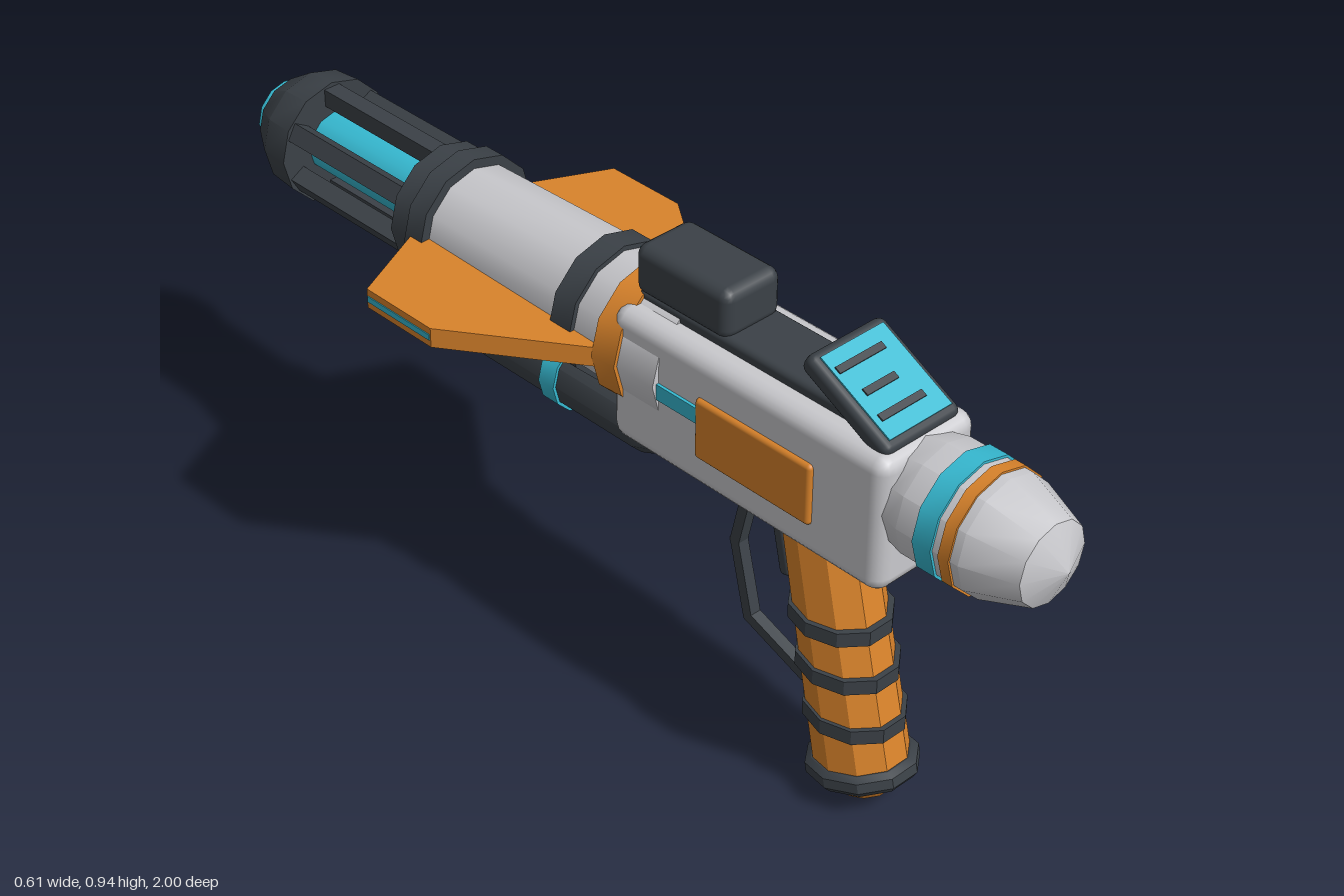
import * as THREE from 'three';
import { toCreasedNormals } from 'three/addons/utils/BufferGeometryUtils.js';
import { RoundedBoxGeometry } from 'three/addons/geometries/RoundedBoxGeometry.js';

const material = (name, color) => {
  const m = new THREE.MeshStandardMaterial({ color });
  m.name = name;
  return m;
};

export function createModel() {
  const grey = material('light grey', 0xc9c9cd);
  const orange = material('orange', 0xd9832b);
  const cyan = material('cyan', 0x36b9d1);
  const dark = material('charcoal', 0x3b4147);

  const model = new THREE.Group();
  model.name = 'blaster';
  const AXIS = 0.735; // height of the barrel axis

  function add(name, geometry, mat, x = 0, y = 0, z = 0, parent = model) {
    const mesh = new THREE.Mesh(geometry, mat);
    mesh.name = name;
    mesh.position.set(x, y, z);
    parent.add(mesh);
    return mesh;
  }
  const box = (w, h, d) => new THREE.BoxGeometry(w, h, d);
  const rounded = (w, h, d, r) => new RoundedBoxGeometry(w, h, d, 2, r);

  // Lathe from [position, radius] pairs in ascending order, around the y axis
  const lathe = (profile, sides, phase = 0) => toCreasedNormals(
    new THREE.LatheGeometry(profile.map(([p, r]) => new THREE.Vector2(r, p)), sides, phase), 0.56);
  // Same, turned to lie along z
  const turned = (name, mat, profile, y = AXIS, sides = 12) =>
    add(name, lathe(profile, sides).rotateX(Math.PI / 2), mat, 0, y, 0);
  const ring = (name, mat, z0, z1, r, y = AXIS) =>
    turned(name, mat, [[z0, 0], [z0, r], [z1, r], [z1, 0]], y);

  // Rear cap with coloured rings
  turned('rearCap', grey, [[0.66, 0.1], [0.7, 0.108], [0.73, 0.115], [0.865, 0.115], [0.965, 0.08], [1, 0]], 0.732);
  ring('rearOrangeRing', orange, 0.825, 0.848, 0.119, 0.732);
  ring('rearCyanRing', cyan, 0.77, 0.81, 0.12, 0.732);

  // Receiver with side panels
  add('receiver', rounded(0.23, 0.275, 0.65, 0.03), grey, 0, 0.7025, 0.375);
  for (const s of [-1, 1]) {
    add('sidePanel', rounded(0.02, 0.125, 0.275, 0.009), orange, s * 0.114, 0.6975, 0.4075);
    add('sideStrip', box(0.016, 0.032, 0.12), cyan, s * 0.113, 0.722, 0.22);
  }

  // Barrel with socket and collars
  ring('barrelSocket', grey, 0.05, 0.175, 0.13);
  turned('frontCollar', orange, [[0.03, 0], [0.03, 0.14], [0.085, 0.137], [0.085, 0]]);
  turned('barrel', grey, [[-0.44, 0], [-0.44, 0.118], [0.04, 0.128], [0.04, 0]]);
  ring('barrelBand', dark, -0.085, -0.033, 0.136);
  turned('cageCollar', dark, [[-0.53, 0], [-0.53, 0.127], [-0.48, 0.127], [-0.48, 0.137], [-0.435, 0.137], [-0.435, 0]]);

  // Muzzle cage around the glowing core
  ring('energyCore', cyan, -0.87, -0.5, 0.062);
  for (let i = 0; i < 6; i++) {
    const a = Math.PI / 2 + i * Math.PI / 3;
    add('cageRod', box(0.036, 0.036, 0.36), dark, Math.cos(a) * 0.1, AXIS + Math.sin(a) * 0.1, -0.69).rotation.z = a;
  }
  turned('muzzle', dark, [[-0.98, 0], [-0.98, 0.082], [-0.915, 0.122], [-0.85, 0.127], [-0.85, 0]]);
  ring('muzzleTip', cyan, -1, -0.97, 0.069);

  // Side fins with thin coloured edges
  for (const s of [-1, 1]) {
    const outline = new THREE.Shape([[0.09, 0.07], [0.135, 0.03], [0.303, -0.21], [0.303, -0.385], [0.135, -0.465], [0.09, -0.465]]
      .map(([x, z]) => new THREE.Vector2(s * x, -z)));
    const fin = new THREE.ExtrudeGeometry(outline, { depth: 0.04, bevelEnabled: false });
    add('fin', fin.rotateX(-Math.PI / 2), orange, 0, 0.71, 0);
    add('finEdge', box(0.006, 0.012, 0.17), cyan, s * 0.302, 0.73, -0.2975);
  }

  // Canister slung below the barrel
  turned('canister', dark, [[-0.465, 0], [-0.465, 0.03], [-0.45, 0.052], [-0.4, 0.073], [0.05, 0.073],
    [0.1, 0.055], [0.12, 0.03], [0.12, 0]], 0.548);
  ring('canisterBand', cyan, -0.18, -0.14, 0.079, 0.548);

  // Top rail and sight
  add('topRail', rounded(0.13, 0.04, 0.55, 0.012), dark, 0, 0.843, 0.345);
  add('sight', rounded(0.134, 0.1, 0.23, 0.022), dark, 0, 0.9, 0.175);
  add('sightLens', box(0.09, 0.06, 0.008), cyan, 0, 0.9, 0.058);

  // Tilted display
  const display = new THREE.Group();
  display.name = 'display';
  display.position.set(0, 0.88, 0.582);
  display.rotation.x = 0.48;
  model.add(display);
  add('displayFrame', rounded(0.182, 0.042, 0.215, 0.016), dark, 0, 0, 0, display);
  add('displayScreen', box(0.15, 0.008, 0.18), cyan, 0, 0.02, 0, display);
  [[-0.012, 0.11, -0.055], [-0.015, 0.075, 0], [-0.01, 0.105, 0.05]].forEach(([x, w, z]) =>
    add('displayBar', box(w, 0.008, 0.014), dark, x, 0.023, z, display));

  // Raked grip
  const grip = new THREE.Group();
  grip.name = 'grip';
  grip.position.set(0, 0.57, 0.475);
  grip.rotation.x = -0.22;
  model.add(grip);
  const gripPart = (name, mat, profile) => {
    add(name, lathe(profile, 10, Math.PI / 10), mat, 0, 0, 0, grip).scale.z = 1.1;
  };
  gripPart('gripBody', orange, [[-0.575, 0], [-0.565, 0.045], [-0.51, 0.085], [0.04, 0.078], [0.04, 0]]);
  gripPart('gripBaseBand', dark, [[-0.53, 0], [-0.53, 0.09], [-0.518, 0.1], [-0.498, 0.1], [-0.49, 0.088], [-0.49, 0]]);
  for (const y of [0.38, 0.285, 0.185]) {
    const band = [[-0.015, 0], [-0.015, 0.09], [0.015, 0.09], [0.015, 0]];
    add('gripBand', lathe(band, 10, Math.PI / 10), dark, 0, y, 0.475 + (0.57 - y) * 0.2236).scale.z = 1.12;
  }
  add('trigger', rounded(0.036, 0.13, 0.03, 0.01), dark, 0, 0.45, 0.382).rotation.x = -0.22;

  // Trigger guard made of straight segments
  const path = [[0.535, 0.298], [0.39, 0.265], [0.237, 0.302], [0.185, 0.44]]
    .map(([y, z]) => new THREE.Vector3(0, y, z));
  for (let i = 0; i < 3; i++) {
    const d = path[i + 1].clone().sub(path[i]);
    const bar = add('triggerGuard', box(0.024, d.length() + 0.012, 0.022), dark);
    bar.position.copy(path[i]).addScaledVector(d, 0.5);
    bar.rotation.x = Math.atan2(d.z, d.y);
  }
  return model;
}
